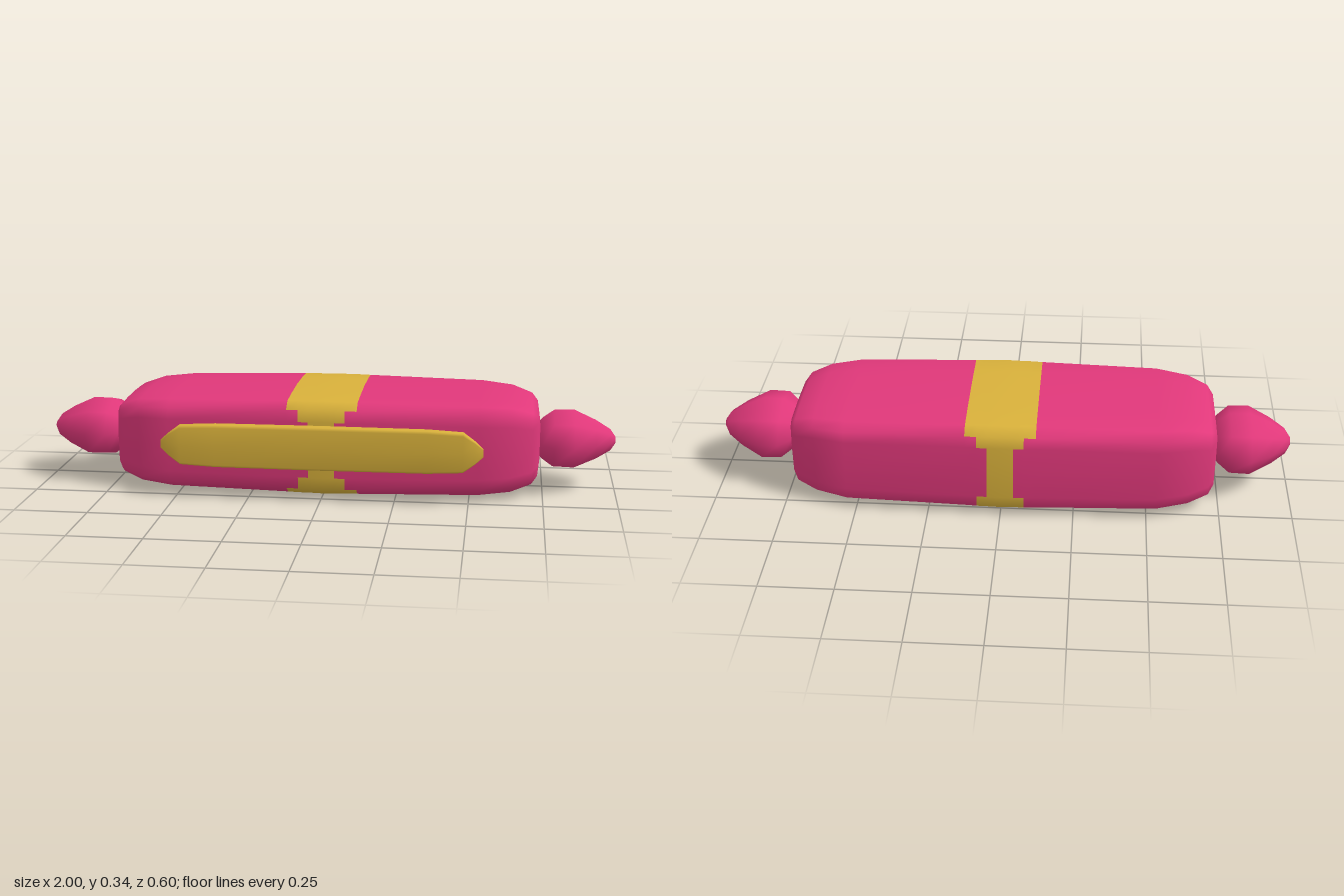
import * as THREE from 'three';

const pink = new THREE.MeshStandardMaterial({ color: 0xe0387a });
pink.name = 'pink';
const gold = new THREE.MeshStandardMaterial({ color: 0xd9b13b });
gold.name = 'gold';

// Mirrors a quarter profile of [z, y] points (top to side) into a full ring.
function fullRing(quarter) {
  const half = [...quarter, ...quarter.slice(0, -1).reverse().map(([z, y]) => [z, -y])];
  return [...half, ...half.slice(1, -1).reverse().map(([z, y]) => [-z, y])];
}

// Lofts a unit ring along x through stations [x, halfDepth, halfHeight].
// isGold(x, y, z) picks the second colour for each quad.
function loft(ring, stations, isGold = () => false) {
  const n = ring.length, last = stations.length - 1;
  const positions = [], faces = [[], []];
  for (const [x, d, h] of stations) {
    for (const [z, y] of ring) positions.push(x, y * h, z * d);
  }
  for (let i = 0; i < last; i++) {
    for (let j = 0; j < n; j++) {
      const k = (j + 1) % n;
      const a = i * n + j, b = i * n + k, c = a + n, e = b + n;
      const x = (stations[i][0] + stations[i + 1][0]) / 2;
      const y = (ring[j][1] + ring[k][1]) / 2;
      faces[isGold(x, y) ? 1 : 0].push(a, b, c, b, e, c);
    }
  }
  // End caps
  const start = positions.length / 3;
  positions.push(stations[0][0], 0, 0, stations[last][0], 0, 0);
  for (let j = 0; j < n; j++) {
    const k = (j + 1) % n;
    faces[0].push(start, k, j, start + 1, last * n + j, last * n + k);
  }
  const g = new THREE.BufferGeometry();
  g.setAttribute('position', new THREE.Float32BufferAttribute(positions, 3));
  g.setIndex([...faces[0], ...faces[1]]);
  g.addGroup(0, faces[0].length, 0);
  g.addGroup(faces[0].length, faces[1].length, 1);
  g.computeVertexNormals();
  return g;
}

// Repeats the stations of the +x half on the -x side.
function mirrored(half) {
  const other = half.filter(([x]) => x > 0).map(([x, d, h]) => [-x, d, h]).reverse();
  return [...other, ...half];
}

export function createModel() {
  const model = new THREE.Group();
  const add = (name, geometry, material, x, y, z) => {
    const mesh = new THREE.Mesh(geometry, material);
    mesh.name = name;
    mesh.position.set(x, y, z);
    model.add(mesh);
    return mesh;
  };

  // Long padded body with a band that narrows on the front and back
  const bodyRing = fullRing([[0, 1], [0.5, 0.98], [0.83, 0.95], [0.965, 0.81], [0.98, 0.57], [1, 0]]);
  const bodyStations = mirrored([
    [0, 0.281, 0.171], [0.045, 0.28, 0.17], [0.08, 0.279, 0.17], [0.12, 0.277, 0.169],
    [0.53, 0.268, 0.161], [0.64, 0.235, 0.153], [0.71, 0.202, 0.13],
    [0.73, 0.165, 0.108], [0.737, 0.1, 0.065],
  ]);
  const band = (x, y) => {
    const h = Math.abs(y);
    return Math.abs(x) < (h > 0.85 ? 0.12 : h > 0.65 ? 0.075 : 0.045);
  };
  add('body', loft(bodyRing, bodyStations, band), [pink, gold], 0, 0.174, -0.022);

  // Eight-sided egg-shaped knobs at both ends
  const s = Math.SQRT1_2;
  const knobRing = fullRing([[0, 1], [s, s], [1, 0]]);
  const knobProfile = [
    [0.725, 0.45], [0.745, 0.7], [0.785, 0.98], [0.855, 1],
    [0.93, 0.67], [0.98, 0.37], [0.998, 0.12],
  ].map(([x, r]) => [x, r * 0.157, r * 0.104]);
  const knob = loft(knobRing, knobProfile);
  add('leftKnob', knob, [pink, gold], 0, 0.174, -0.017);
  add('rightKnob', knob, [pink, gold], 0, 0.174, -0.017).rotation.y = Math.PI;
  model.getObjectByName('rightKnob').position.z = -0.017;

  // Flat pointed bar along the front
  const barRing = fullRing([[0, 1], [0.6, 0.96], [0.95, 0.85], [1, 0]]);
  const barStations = mirrored([
    [0, 0.026, 0.077], [0.36, 0.025, 0.076], [0.48, 0.021, 0.07],
    [0.52, 0.014, 0.04], [0.548, 0.006, 0.014],
  ]);
  add('frontBar', loft(barRing, barStations), [gold, gold], 0, 0.188, 0.275);

  return model;
}
